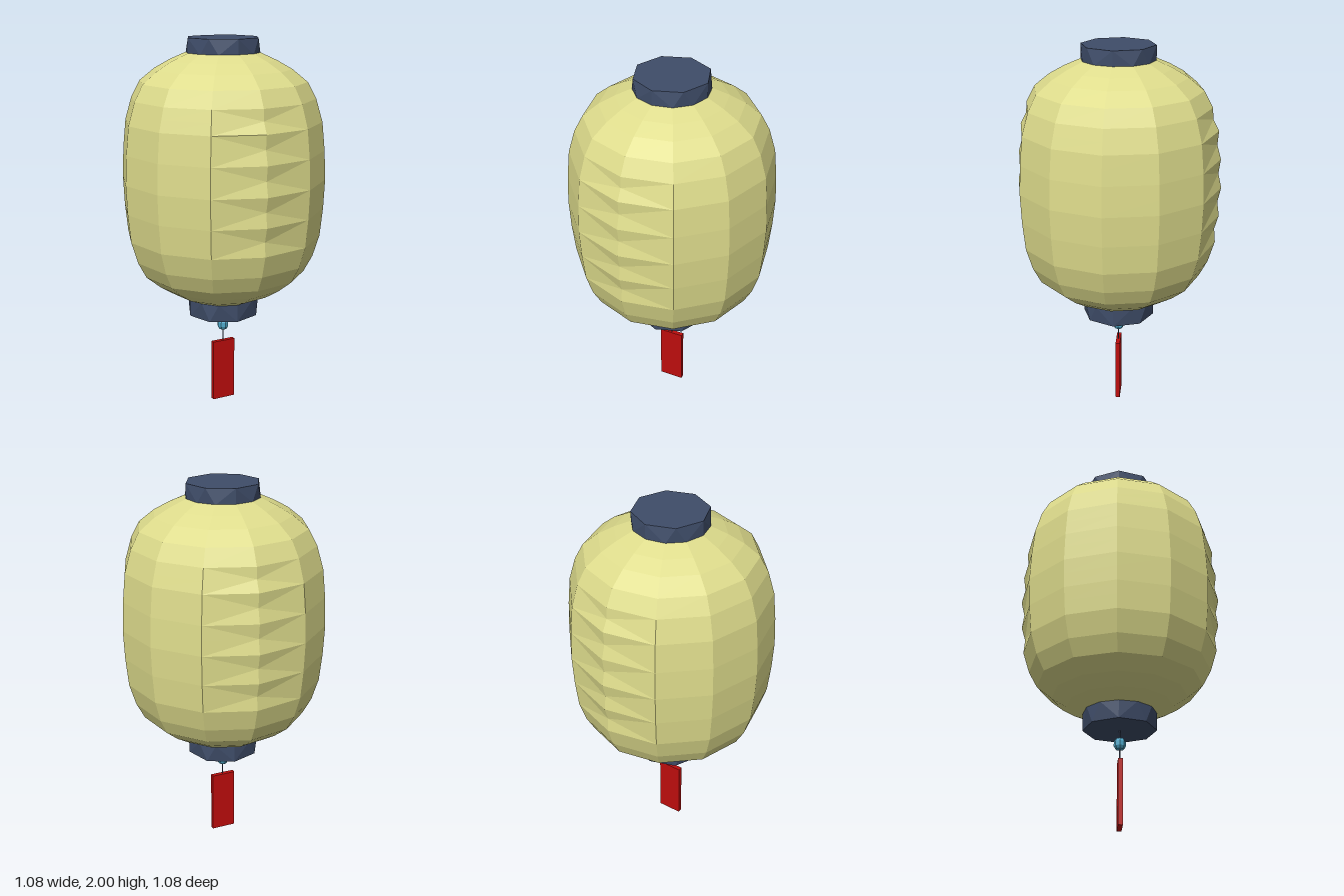
import * as THREE from 'three';
import { ConvexGeometry } from 'three/addons/geometries/ConvexGeometry.js';

const SIDES = 12;
const PHASE = -0.077; // slight twist of the lantern about its axis

const material = (name, color, options = {}) => {
  const m = new THREE.MeshStandardMaterial({ color, ...options });
  m.name = name;
  return m;
};

const ringPoint = (radius, y, turn) => {
  const t = PHASE + turn * Math.PI * 2;
  return new THREE.Vector3(Math.sin(t) * radius, y, Math.cos(t) * radius);
};

// Faceted paper shell: [y, radius] rings, with ribs pinched in at front and back
function shellGeometry() {
  const profile = [
    [1.925, 0.19], [1.885, 0.28], [1.84, 0.36], [1.775, 0.44], [1.69, 0.485], [1.57, 0.52],
    [1.42, 0.535], [1.265, 0.542], [1.11, 0.535], [0.96, 0.52], [0.845, 0.485],
    [0.76, 0.44], [0.695, 0.36], [0.645, 0.28], [0.605, 0.19],
  ];
  const rows = [];
  profile.forEach(([y, r], i) => {
    rows.push({ y, r, pinched: false });
    if (i >= 4 && i < 9) {
      const [y2, r2] = profile[i + 1];
      rows.push({ y: (y + y2) / 2, r: (r + r2) / 2, pinched: true });
    }
  });
  const isPinched = (i, j) => rows[i].pinched && j % 6 === 0;
  const point = (i, j) =>
    ringPoint(rows[i].r - (isPinched(i, j) ? 0.014 : 0), rows[i].y, j / SIDES);

  const points = [];
  for (let i = 0; i < rows.length - 1; i++) {
    for (let j = 0; j < SIDES; j++) {
      const a = point(i, j), b = point(i, j + 1);
      const c = point(i + 1, j), d = point(i + 1, j + 1);
      // Diagonals start from the pinched corners
      if (isPinched(i, j) || isPinched(i + 1, j + 1)) points.push(a, c, d, a, d, b);
      else points.push(a, c, b, b, c, d);
    }
  }
  const g = new THREE.BufferGeometry().setFromPoints(points);
  g.computeVertexNormals();
  return g;
}

// Solid collar: eight-sided outer face, twelve-sided edge against the shell
function collarGeometry(outerY, innerY) {
  const points = [];
  for (let k = 0; k < 8; k++) points.push(ringPoint(0.194, outerY, k / 8));
  for (let k = 0; k < SIDES; k++) points.push(ringPoint(0.194, innerY, k / SIDES));
  return new ConvexGeometry(points);
}

export function createModel() {
  const paper = material('yellow paper', 0xdedc8c, { flatShading: true, side: THREE.DoubleSide });
  const navy = material('navy', 0x3f4d69, { flatShading: true });
  const blue = material('bead blue', 0x4fa9cb, { flatShading: true });
  const red = material('tag red', 0xbd0d0d, { flatShading: true });

  const group = new THREE.Group();
  group.name = 'lantern';
  const add = (name, geometry, mat, y = 0) => {
    const mesh = new THREE.Mesh(geometry, mat);
    mesh.name = name;
    mesh.position.y = y;
    group.add(mesh);
    return mesh;
  };

  add('paperShell', shellGeometry(), paper);
  add('topCollar', collarGeometry(2, 1.92), navy);
  add('bottomCollar', collarGeometry(0.512, 0.61), navy);

  // Hanging cord, bead and tag
  add('cord', new THREE.CylinderGeometry(0.003, 0.003, 0.18, 6), navy, 0.428);
  const beadProfile = [[0, -0.028], [0.022, -0.028], [0.031, -0.012], [0.031, 0.012], [0.022, 0.028], [0, 0.028]]
    .map(([x, y]) => new THREE.Vector2(x, y));
  add('bead', new THREE.LatheGeometry(beadProfile, 8), blue, 0.438);
  add('tag', new THREE.BoxGeometry(0.132, 0.342, 0.024), red, 0.171);

  return group;
}
